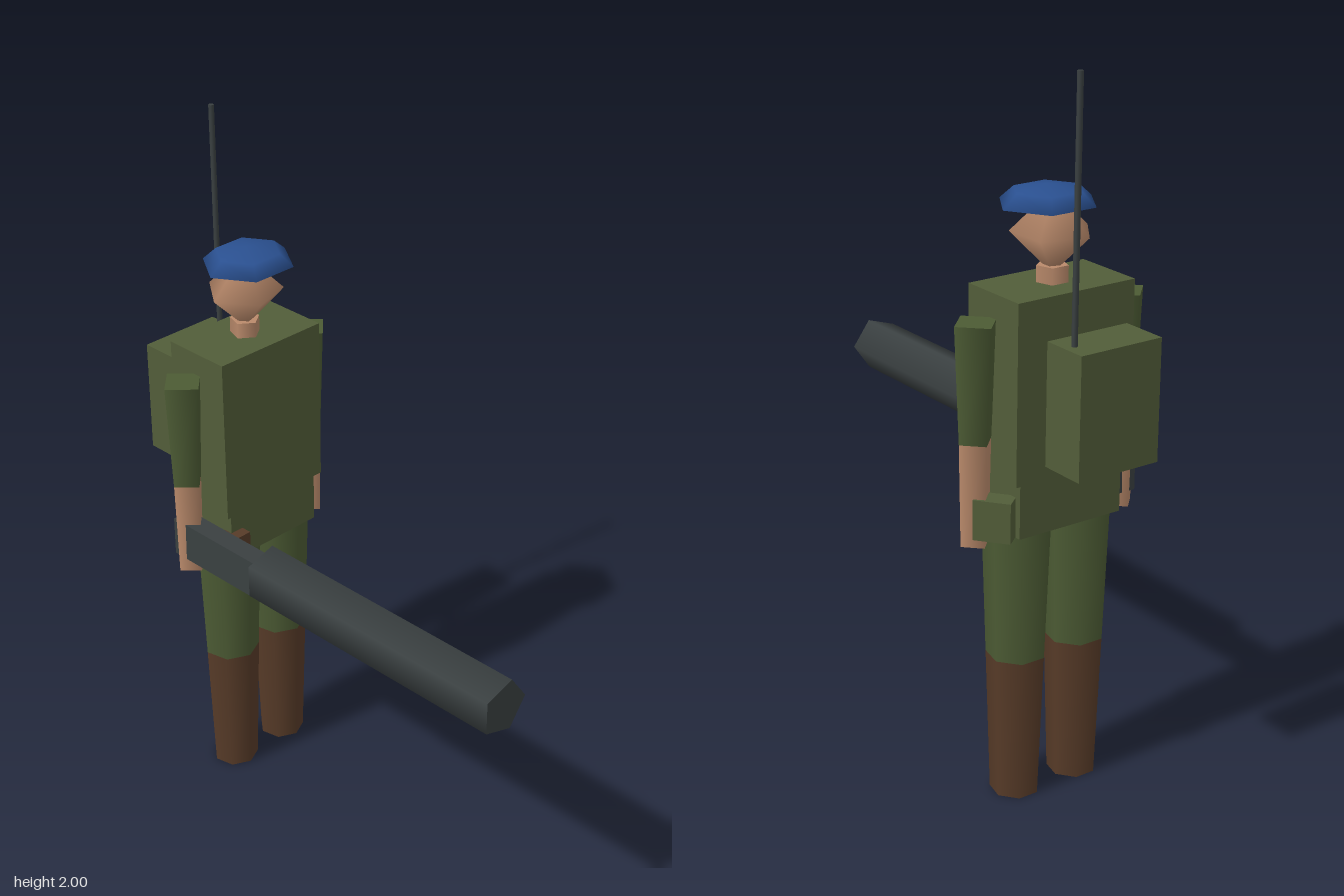
import * as THREE from 'three';

function mat(name, color, side = THREE.FrontSide) {
  const m = new THREE.MeshStandardMaterial({ color, side });
  m.name = name;
  return m;
}

export function createModel() {
  const jacket = mat('olive jacket', 0x525d39);
  const cloth = mat('green cloth', 0x4c5b34);
  const skin = mat('skin', 0xba8a6b);
  const leather = mat('brown leather', 0x573b28);
  const metal = mat('gun metal', 0x3a4041);
  const blue = mat('beret blue', 0x2a5090, THREE.DoubleSide);

  const model = new THREE.Group();
  model.name = 'soldier';
  const Z = -0.452; // body centre line

  function add(name, geometry, material, x, y, z) {
    const mesh = new THREE.Mesh(geometry, material);
    mesh.name = name;
    mesh.position.set(x, y, z);
    model.add(mesh);
    return mesh;
  }
  const box = (name, m, w, h, d, x, y, z) => add(name, new THREE.BoxGeometry(w, h, d), m, x, y, z);
  // upright tapered limb from y0 to y1
  const limb = (name, m, rTop, rBottom, sides, x, y0, y1, z = Z) =>
    add(name, new THREE.CylinderGeometry(rTop, rBottom, y1 - y0, sides), m, x, (y0 + y1) / 2, z);

  // body
  box('torso', jacket, 0.365, 0.485, 0.21, 0, 1.178, Z);
  box('hips', jacket, 0.325, 0.15, 0.19, 0, 0.86, Z);

  // arms and legs
  for (const [side, s] of [['left', 1], ['right', -1]]) {
    limb(side + 'Sleeve', cloth, 0.065, 0.05, 4, s * 0.235, 1.04, 1.355);
    limb(side + 'Forearm', skin, 0.05, 0.044, 4, s * 0.235, 0.76, 1.04);
    limb(side + 'TrouserLeg', cloth, 0.095, 0.082, 7, s * 0.097, 0.41, 0.79);
    limb(side + 'Boot', leather, 0.082, 0.068, 7, s * 0.097, 0, 0.41);
  }

  // head, neck and beret
  limb('neck', skin, 0.043, 0.043, 5, 0, 1.41, 1.465);
  add('head', new THREE.SphereGeometry(0.11, 5, 2), skin, 0, 1.55, Z);
  const beret = add('beret',
    new THREE.SphereGeometry(1, 6, 2, 0, Math.PI * 2, 0, Math.PI / 2), blue, 0.018, 1.626, Z);
  beret.scale.set(0.137, 0.049, 0.125);

  // radio pack with aerial
  box('radioPack', jacket, 0.25, 0.33, 0.135, 0, 1.16, -0.667);
  limb('aerial', metal, 0.008, 0.008, 6, 0.094, 1.32, 2, -0.667);

  // hip pouches
  box('frontPouch', leather, 0.095, 0.115, 0.06, -0.168, 0.818, -0.355);
  const pouch = box('sidePouch', jacket, 0.06, 0.11, 0.1, 0.207, 0.84, -0.5);
  pouch.rotation.y = 0.67;

  // weapon held in the right hand
  box('weaponGrip', metal, 0.06, 0.115, 0.355, -0.235, 0.857, -0.307);
  const barrel = new THREE.CylinderGeometry(0.08, 0.08, 0.872, 5);
  barrel.rotateY(Math.PI / 2).rotateX(Math.PI / 2);
  add('weaponBarrel', barrel, metal, -0.232, 0.878, 0.298);

  return model;
}
